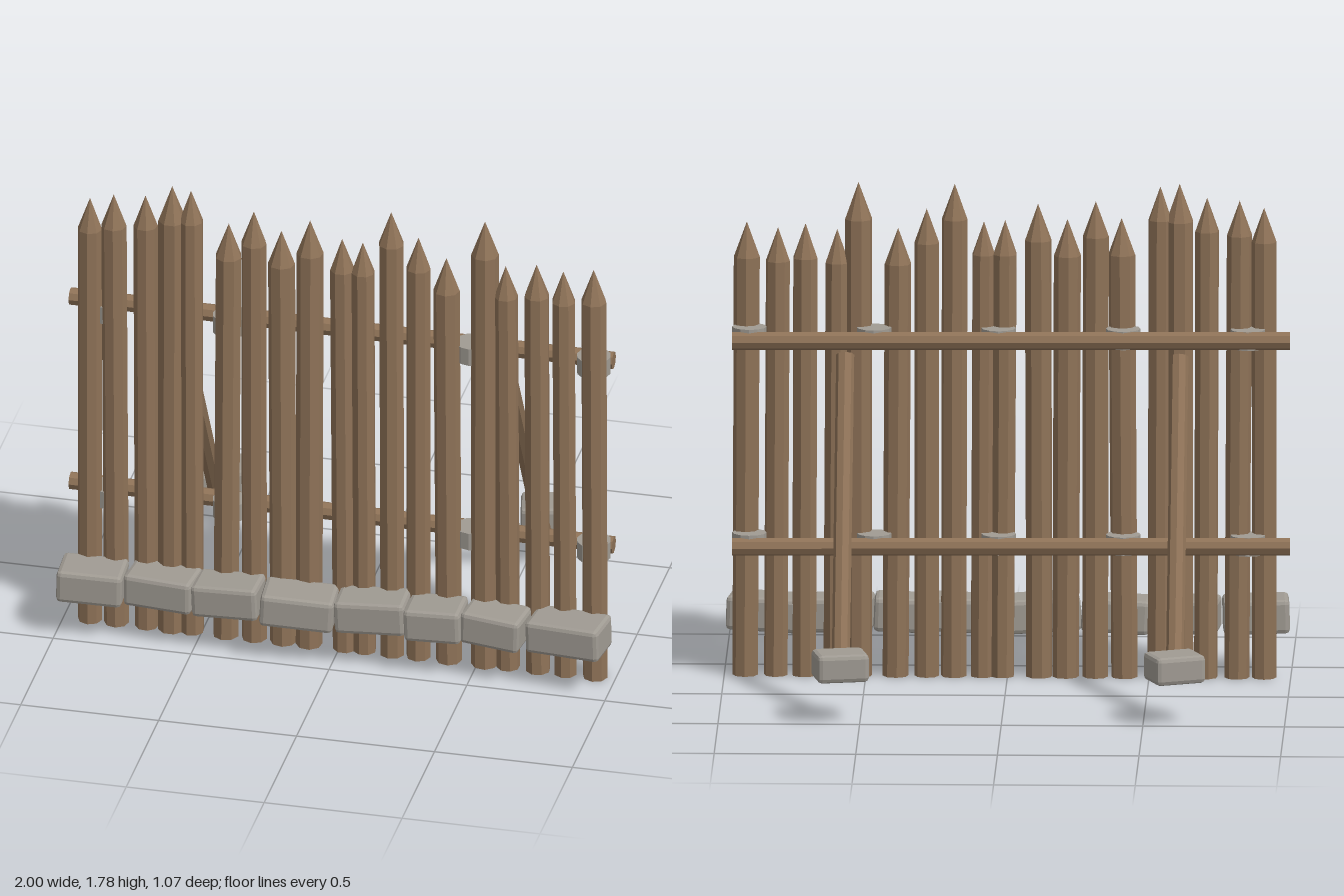
import * as THREE from 'three';
import { RoundedBoxGeometry } from 'three/addons/geometries/RoundedBoxGeometry.js';

const wood = new THREE.MeshStandardMaterial({ color: 0x8f7358 });
wood.name = 'wood';
const stone = new THREE.MeshStandardMaterial({ color: 0xa09b93 });
stone.name = 'stone';

// Faceted normals
function flat(geometry) {
  const g = geometry.index ? geometry.toNonIndexed() : geometry;
  g.computeVertexNormals();
  return g;
}

function add(parent, name, geometry, material, x = 0, y = 0, z = 0) {
  const mesh = new THREE.Mesh(flat(geometry), material);
  mesh.name = name;
  mesh.position.set(x, y, z);
  parent.add(mesh);
  return mesh;
}

// Round pole between two points
function pole(parent, name, from, to, radius) {
  const a = new THREE.Vector3(...from), b = new THREE.Vector3(...to);
  const dir = b.clone().sub(a);
  const mesh = add(parent, name, new THREE.CylinderGeometry(radius, radius, dir.length(), 8), wood);
  mesh.position.copy(a).add(b).multiplyScalar(0.5);
  mesh.quaternion.setFromUnitVectors(new THREE.Vector3(0, 1, 0), dir.normalize());
}

// Chamfered stone block
function block(parent, name, [w, h, d], [x, y, z], turn, roll = 0) {
  const mesh = add(parent, name, new RoundedBoxGeometry(w, h, d, 1, 0.016), stone, x, y, z);
  mesh.rotation.set(0, turn, roll);
}

// Sharpened stake, leaning slightly from its foot to its tip
function stake(parent, i, footX, tipX, height, radius) {
  const point = 0.03 + radius * 2.1;
  const profile = [[0, 0], [radius * 0.98, 0], [radius, height - point], [0, height]]
    .map(([r, y]) => new THREE.Vector2(r, y));
  const g = new THREE.LatheGeometry(profile, 8, i * 1.7);
  const lean = (tipX - footX) / height;
  const p = g.attributes.position;
  for (let k = 0; k < p.count; k++) p.setX(k, p.getX(k) + p.getY(k) * lean);
  add(parent, 'stake', g, wood, footX, 0, 0.33);
}

export function createModel() {
  const model = new THREE.Group();
  model.name = 'palisade';

  // Stakes: foot x, tip x, height, radius
  const stakes = new THREE.Group();
  stakes.name = 'stakes';
  model.add(stakes);
  [
    [-0.906, -0.906, 1.695, 0.044], [-0.81, -0.82, 1.72, 0.045], [-0.70, -0.705, 1.73, 0.043],
    [-0.61, -0.608, 1.78, 0.05], [-0.535, -0.54, 1.77, 0.043], [-0.413, -0.403, 1.655, 0.048],
    [-0.31, -0.312, 1.715, 0.046], [-0.205, -0.212, 1.65, 0.048], [-0.112, -0.108, 1.705, 0.048],
    [0.018, 0.008, 1.645, 0.044], [0.09, 0.083, 1.64, 0.042], [0.19, 0.186, 1.775, 0.046],
    [0.285, 0.285, 1.685, 0.044], [0.395, 0.386, 1.615, 0.047], [0.525, 0.526, 1.78, 0.049],
    [0.61, 0.601, 1.61, 0.043], [0.718, 0.713, 1.63, 0.045], [0.818, 0.81, 1.615, 0.043],
    [0.926, 0.92, 1.635, 0.046],
  ].forEach((s, i) => stake(stakes, i, ...s));

  // Rails with their fixing collars
  for (const y of [1.23, 0.487]) {
    pole(model, 'rail', [-1, y + 0.006, 0.232], [0.97, y - 0.006, 0.232], 0.032);
    for (let i = 0; i < 5; i++) {
      add(model, 'collar', new THREE.CylinderGeometry(0.061, 0.061, 0.066, 12), stone,
        -0.85 + i * 0.44, y + 0.003, 0.285);
    }
  }

  // Rear braces standing on foot stones
  for (const [x, turn] of [[-0.61, 0.39], [0.57, 0.21]]) {
    pole(model, 'brace', [x, 1.18, 0.22], [x, 0.16, -0.375], 0.032);
    block(model, 'footStone', [0.185, 0.1, 0.15], [x, 0.2, -0.44], turn);
  }

  // Front stone row: x, z, width, depth, turn, roll
  [
    [-0.875, 0.425, 0.235, 0.165, 0.05, -0.02], [-0.622, 0.412, 0.25, 0.155, -0.1, 0],
    [-0.382, 0.42, 0.24, 0.155, -0.03, 0.05], [-0.123, 0.435, 0.262, 0.165, 0.08, -0.05],
    [0.14, 0.415, 0.255, 0.155, 0.03, 0.05], [0.37, 0.42, 0.205, 0.16, 0, 0.04],
    [0.585, 0.415, 0.22, 0.155, -0.12, -0.04], [0.85, 0.42, 0.275, 0.16, -0.13, 0.03],
  ].forEach(([x, z, w, d, turn, roll]) =>
    block(model, 'baseStone', [w, 0.122, d], [x, 0.21, z], turn, roll));

  return model;
}
